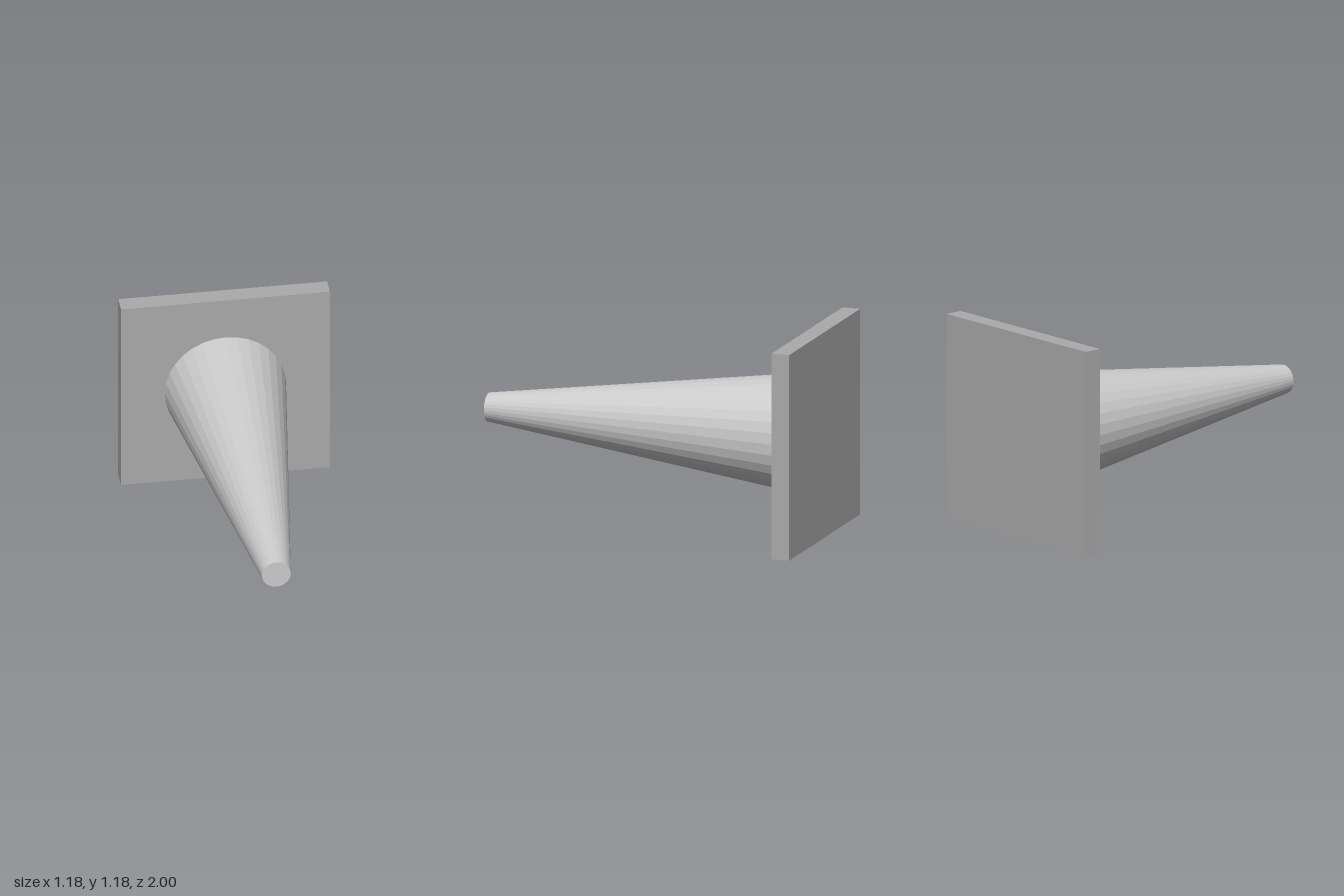
import * as THREE from 'three';

export function createModel() {
  const model = new THREE.Group();
  model.name = 'trafficCone';

  const size = 1.185, thickness = 0.105;
  const plateFront = -1 + thickness;
  const centreY = size / 2;

  // Square base plate, standing upright at the back
  const basePlate = new THREE.Mesh(
    new THREE.BoxGeometry(size, size, thickness),
    new THREE.MeshStandardMaterial({ color: 0xaaaaaa, flatShading: true })
  );
  basePlate.name = 'basePlate';
  basePlate.position.set(0, centreY, -1 + thickness / 2);
  model.add(basePlate);

  // Faceted tapering body, lying along z with its blunt tip at the front
  const length = 1 - plateFront;
  const coneBody = new THREE.Mesh(
    new THREE.CylinderGeometry(0.082, 0.344, length, 32).rotateX(Math.PI / 2),
    new THREE.MeshStandardMaterial({ color: 0xcccccc, flatShading: true })
  );
  coneBody.name = 'coneBody';
  coneBody.position.set(0, centreY, plateFront + length / 2);
  model.add(coneBody);

  return model;
}
